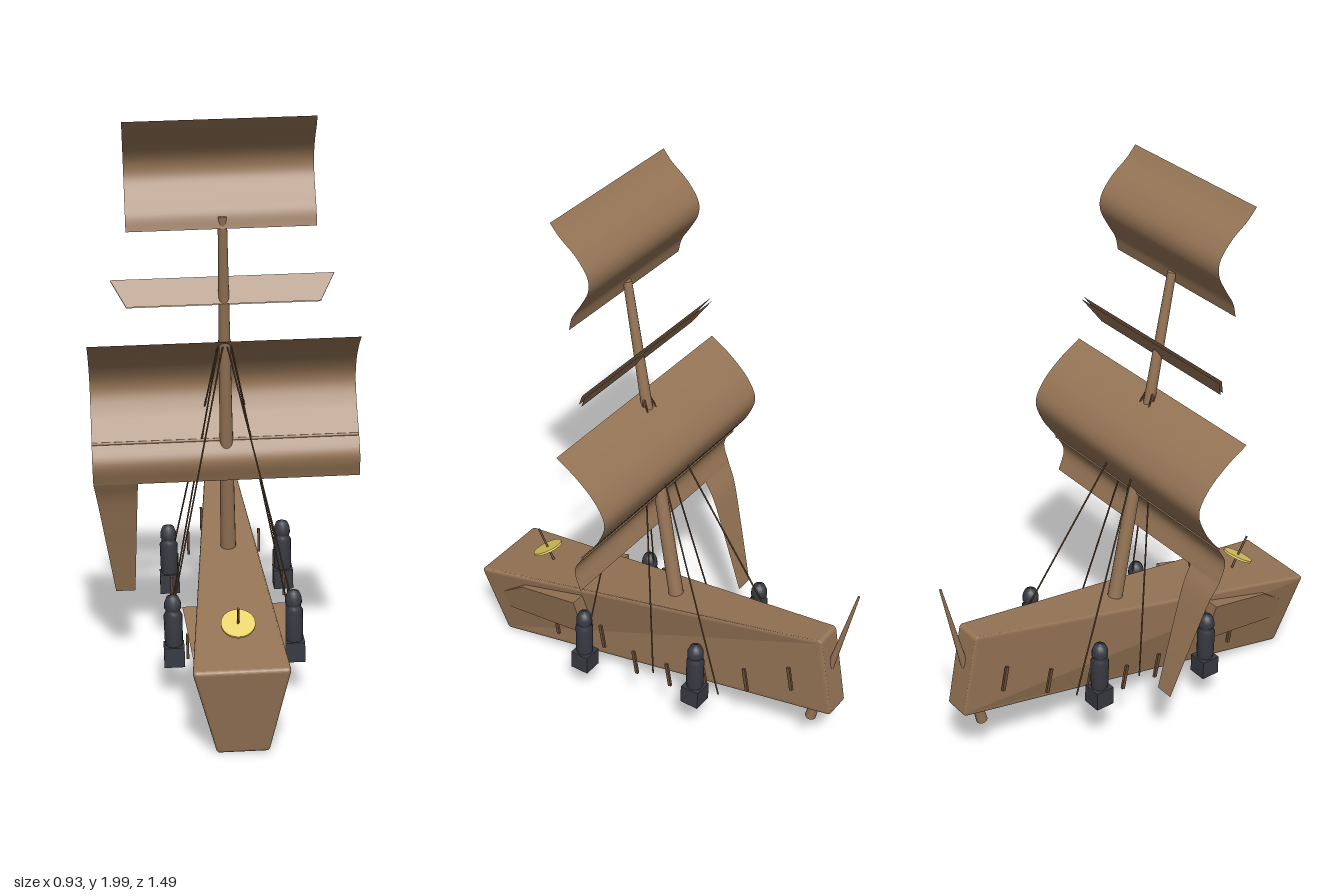
import * as THREE from 'three';
import { RoundedBoxGeometry } from 'three/addons/geometries/RoundedBoxGeometry.js';

const wood = new THREE.MeshStandardMaterial({ color: 0x967556, side: THREE.DoubleSide });
wood.name = 'wood and sailcloth';
const rope = new THREE.MeshStandardMaterial({ color: 0x6a4e38 });
rope.name = 'dark rope';
const iron = new THREE.MeshStandardMaterial({ color: 0x383a42 });
iron.name = 'dark iron';
const brass = new THREE.MeshStandardMaterial({ color: 0xe4ce62 });
brass.name = 'brass';

function add(parent, name, geometry, material, x = 0, y = 0, z = 0) {
  const mesh = new THREE.Mesh(geometry, material);
  mesh.name = name;
  mesh.position.set(x, y, z);
  parent.add(mesh);
  return mesh;
}

// Round bar between two points
function bar(parent, name, from, to, r0, r1, material, sides = 8) {
  const a = new THREE.Vector3(...from), b = new THREE.Vector3(...to);
  const dir = b.clone().sub(a);
  const mesh = add(parent, name, new THREE.CylinderGeometry(r1, r0, dir.length(), sides), material);
  mesh.position.copy(a).add(b).multiplyScalar(0.5);
  mesh.quaternion.setFromUnitVectors(new THREE.Vector3(0, 1, 0), dir.normalize());
  return mesh;
}

// Curved cloth: [z, y] profile swept across x, with its span changing from top to bottom
function cloth(parent, name, profile, topSpan, bottomSpan = topSpan) {
  const curve = new THREE.CatmullRomCurve3(profile.map(([z, y]) => new THREE.Vector3(0, y, z)));
  const geo = new THREE.PlaneGeometry(1, 1, 1, 40);
  const pos = geo.attributes.position;
  for (let i = 0; i < pos.count; i++) {
    const t = 0.5 - pos.getY(i), u = pos.getX(i) + 0.5;
    const p = curve.getPointAt(t);
    const left = THREE.MathUtils.lerp(topSpan[0], bottomSpan[0], t);
    const right = THREE.MathUtils.lerp(topSpan[1], bottomSpan[1], t);
    pos.setXYZ(i, left + (right - left) * u, p.y, p.z);
  }
  geo.computeVertexNormals();
  return add(parent, name, geo, wood);
}

// Hull with softened edges: wide front, narrow stern, narrower keel at the front
function hullGeometry() {
  const geo = new RoundedBoxGeometry(0.32, 0.315, 1.414, 3, 0.014);
  const pos = geo.attributes.position;
  const { lerp } = THREE.MathUtils;
  for (let i = 0; i < pos.count; i++) {
    const v = pos.getY(i) / 0.315 + 0.5, w = pos.getZ(i) / 1.414 + 0.5;
    const half = lerp(lerp(0.048, 0.085, w), lerp(0.051, 0.16, w), v);
    pos.setX(i, pos.getX(i) * half / 0.16);
  }
  geo.computeVertexNormals();
  return geo;
}

// Side panel, flush at the front and standing proud of the hull at its rear
function panelGeometry(side) {
  const outline = [[0.615, 0.345], [0.617, 0.264], [0.252, 0.258], [0.244, 0.416], [0.5, 0.405]];
  const shape = new THREE.Shape(outline.map(([z, y]) => new THREE.Vector2(-z, y)));
  const geo = new THREE.ExtrudeGeometry(shape, { depth: 1, bevelEnabled: false });
  geo.rotateY(Math.PI / 2);
  const pos = geo.attributes.position;
  for (let i = 0; i < pos.count; i++) {
    const y = pos.getY(i), z = pos.getZ(i);
    const outer = 0.172 - (z - 0.25) * 0.07 - (0.41 - y) * 0.21;
    const u = side > 0 ? pos.getX(i) : 1 - pos.getX(i);
    pos.setX(i, side * THREE.MathUtils.lerp(0.05, outer, u));
  }
  geo.computeVertexNormals();
  return geo;
}

// Domed lantern on a square block
function lantern(parent, name, x, y, z) {
  const g = new THREE.Group();
  g.name = name;
  g.position.set(x, y, z);
  parent.add(g);
  add(g, 'lanternBlock', new THREE.BoxGeometry(0.07, 0.07, 0.07), iron, 0, 0.035, 0);
  const profile = [[0.028, 0.065], [0.031, 0.09], [0.032, 0.18], [0.025, 0.19], [0.025, 0.2],
    [0.029, 0.204], [0.028, 0.225], [0.02, 0.245], [0, 0.253]];
  add(g, 'lanternBody', new THREE.LatheGeometry(profile.map(p => new THREE.Vector2(...p)), 16), iron);
}

export function createModel() {
  const model = new THREE.Group();
  model.name = 'sailingBoat';
  // Slight roll, then the bow-down pitch
  const roll = new THREE.Group();
  roll.name = 'rolledBoat';
  roll.rotation.z = 0.026;
  model.add(roll);
  const boat = new THREE.Group();
  boat.name = 'boat';
  boat.position.x = 0.03;
  boat.rotation.x = 0.1815;
  roll.add(boat);

  // Hull, mast and steering pole
  add(boat, 'hull', hullGeometry(), wood, 0, 0.2875, -0.024);
  bar(boat, 'mast', [0, 0.43, -0.095], [0, 1.675, -0.103], 0.027, 0.015, wood, 16);
  bar(boat, 'steeringPole', [0, 0.06, -0.611], [0, 0.633, -0.869], 0.02, 0.004, wood, 12);

  // Sails
  cloth(boat, 'upperSail', [[-0.086, 2.01], [-0.111, 1.969], [-0.169, 1.901], [-0.199, 1.834],
    [-0.191, 1.788], [-0.148, 1.732], [-0.106, 1.685], [-0.085, 1.638]], [-0.314, 0.306]);
  cloth(boat, 'mainSail', [[-0.066, 1.244], [-0.138, 1.177], [-0.198, 1.096], [-0.218, 1.022],
    [-0.176, 0.944], [-0.096, 0.862], [-0.053, 0.804], [-0.061, 0.724]], [-0.458, 0.454]);
  cloth(boat, 'tornSailTail', [[-0.061, 0.724], [-0.08, 0.66], [-0.1, 0.5], [-0.124, 0.26]],
    [-0.458, -0.306], [-0.398, -0.33]);
  bar(boat, 'sailSeam', [-0.458, 0.864, -0.097], [0.454, 0.864, -0.097], 0.005, 0.005, wood);

  // Slanted crosspiece, wider along its upper edge
  cloth(boat, 'crosspieceFront', [[-0.148, 1.445], [-0.083, 1.374]], [-0.372, 0.37], [-0.322, 0.32]);
  cloth(boat, 'crosspieceBack', [[-0.156, 1.438], [-0.091, 1.367]], [-0.372, 0.37], [-0.322, 0.32]);

  // Wheel and its spindle on the foredeck
  const wheel = new THREE.Group();
  wheel.name = 'wheel';
  wheel.position.set(0, 0.4925, 0.479);
  wheel.rotation.x = 0.35;
  boat.add(wheel);
  add(wheel, 'wheelDisc', new THREE.CylinderGeometry(0.056, 0.056, 0.008, 28), brass);
  add(wheel, 'wheelSpindle', new THREE.CylinderGeometry(0.004, 0.004, 0.16, 8), rope);

  // Mirrored fittings: stays as foot y, z and top y, z
  const stays = [[0.374, 0.155, 1.223, -0.07], [0.226, -0.097, 1.284, -0.1],
    [0.216, -0.375, 1.284, -0.095]];
  const pegs = [[0.075, 0.266, -0.598], [0.13, 0.253, -0.448], [0.175, 0.245, -0.305],
    [0.2, 0.238, -0.165], [0.205, 0.255, -0.027], [0.2, 0.325, 0.11], [0.16, 0.265, 0.255],
    [0.112, 0.247, 0.402]];
  for (const side of [1, -1]) {
    const label = side > 0 ? 'left' : 'right';
    add(boat, label + 'SidePanel', panelGeometry(side), wood);
    for (const [y0, z0, y1, z1] of stays) {
      bar(boat, label + 'Stay', [side * 0.2, y0, z0], [side * 0.008, y1, z1], 0.003, 0.003, rope, 6);
    }
    for (const [x, y, z] of pegs) {
      add(boat, label + 'Peg', new THREE.BoxGeometry(0.009, 0.095, 0.012), rope, side * x, y, z);
    }
    lantern(roll, label + 'FrontLantern', 0.03 + side * 0.205, 0.13, 0.243);
    lantern(roll, label + 'RearLantern', 0.03 + side * 0.205, 0.21, -0.235);
  }
  return model;
}
